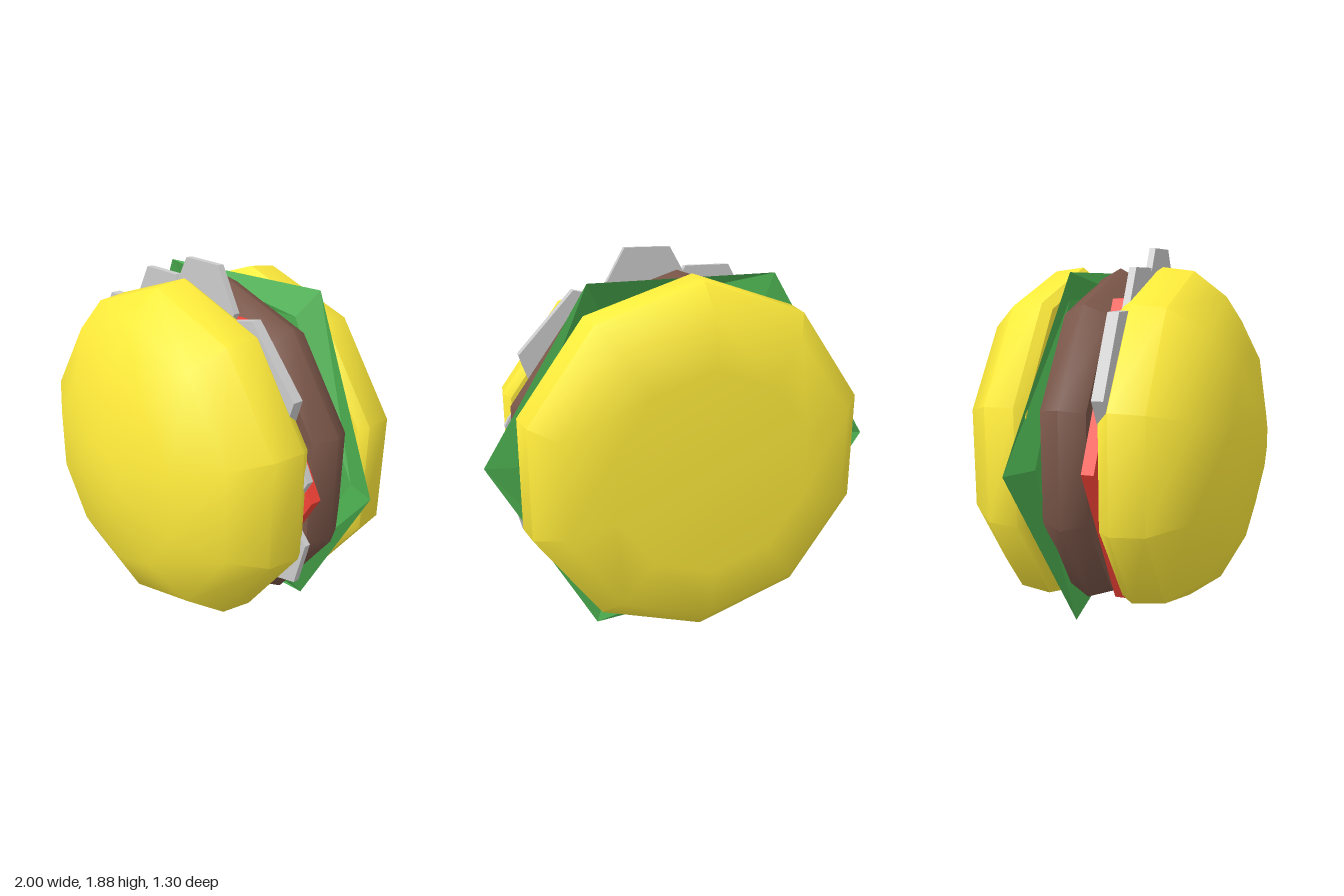
import * as THREE from 'three';
import { toCreasedNormals } from 'three/addons/utils/BufferGeometryUtils.js';

const CENTRE_Y = 0.9;
const DEG = Math.PI / 180;

const material = (color, extra = {}) => new THREE.MeshStandardMaterial({ color, ...extra });

// Ten-sided turned solid around the z axis; the profile is [radius, z] from back to front
function turned(name, profile, mat, crease) {
  const lathe = new THREE.LatheGeometry(profile.map(([r, z]) => new THREE.Vector2(r, z)), 10);
  lathe.rotateX(Math.PI / 2);
  const mesh = new THREE.Mesh(toCreasedNormals(lathe, crease), mat);
  mesh.name = name;
  return mesh;
}

// Flat six-sided slice facing z, with one corner pointing along the given angle
function slice(name, radius, x, y, z0, z1, angle, mat) {
  const geo = new THREE.CylinderGeometry(radius, radius, z1 - z0, 6);
  geo.rotateX(Math.PI / 2).rotateZ(angle * DEG + Math.PI / 2);
  const mesh = new THREE.Mesh(geo, mat);
  mesh.name = name;
  mesh.position.set(x, y, (z0 + z1) / 2);
  return mesh;
}

// Thin hexagonal sheet: flat middle, corners bent alternately forward and back
function lettuceLeaf(mat) {
  const pos = [0, 0, -0.237];
  const index = [];
  for (let i = 0; i < 6; i++) {
    const c = Math.cos(i * 60 * DEG), s = Math.sin(i * 60 * DEG);
    pos.push(0.85 * c, 0.85 * s, -0.237, c, s, i % 2 ? -0.32 : -0.2);
    const a = 1 + 2 * i, b = 1 + 2 * ((i + 1) % 6);
    index.push(0, a, b, a, a + 1, b + 1, a, b + 1, b);
  }
  let geo = new THREE.BufferGeometry();
  geo.setAttribute('position', new THREE.Float32BufferAttribute(pos, 3));
  geo.setIndex(index);
  geo = geo.toNonIndexed();
  geo.computeVertexNormals();
  const mesh = new THREE.Mesh(geo, mat);
  mesh.name = 'lettuce';
  return mesh;
}

export function createModel() {
  const burger = new THREE.Group();
  burger.name = 'burger';
  burger.position.y = CENTRE_Y;

  const bread = material(0xffeb3b);
  const meat = material(0x795548);
  const red = material(0xf44336, { flatShading: true });
  const green = material(0x4caf50, { flatShading: true, side: THREE.DoubleSide });
  const grey = material(0xcccccc, { flatShading: true });

  // Domed bun at the front
  burger.add(turned('topBun', [
    [0, 0.05], [0.86, 0.05], [0.895, 0.105], [0.875, 0.27],
    [0.747, 0.44], [0.503, 0.57], [0.17, 0.643], [0, 0.648],
  ], bread, 0.67));

  // Flat-backed bun
  burger.add(turned('bottomBun', [
    [0, -0.65], [0.5, -0.648], [0.747, -0.62], [0.875, -0.49],
    [0.895, -0.335], [0.86, -0.29], [0, -0.29],
  ], bread, 0.75));

  // Patty bulging at the middle
  burger.add(turned('patty', [
    [0, -0.235], [0.83, -0.235], [0.89, -0.125], [0.83, -0.015], [0, -0.015],
  ], meat, 1.03));

  burger.add(lettuceLeaf(green));
  burger.add(slice('tomato', 0.86, 0, 0, -0.015, 0.045, 0, red));

  // Onion slices: radius, x, y, back z, front z, corner angle
  const onions = new THREE.Group();
  onions.name = 'onions';
  [
    [0.238, 0.095, 0.783, 0.04, 0.072, 0],
    [0.24, -0.23, 0.682, 0.04, 0.075, 0],
    [0.42, -0.46, 0.33, 0.045, 0.1, 0],
    [0.417, 0.36, 0.39, 0.045, 0.1, 13],
    [0.24, 0.63, -0.285, 0.037, 0.07, 16],
    [0.24, 0.62, 0.12, 0.045, 0.08, 0],
  ].forEach(([r, x, y, z0, z1, angle]) => onions.add(slice('onionSlice', r, x, y, z0, z1, angle, grey)));
  burger.add(onions);

  const model = new THREE.Group();
  model.add(burger);
  return model;
}
